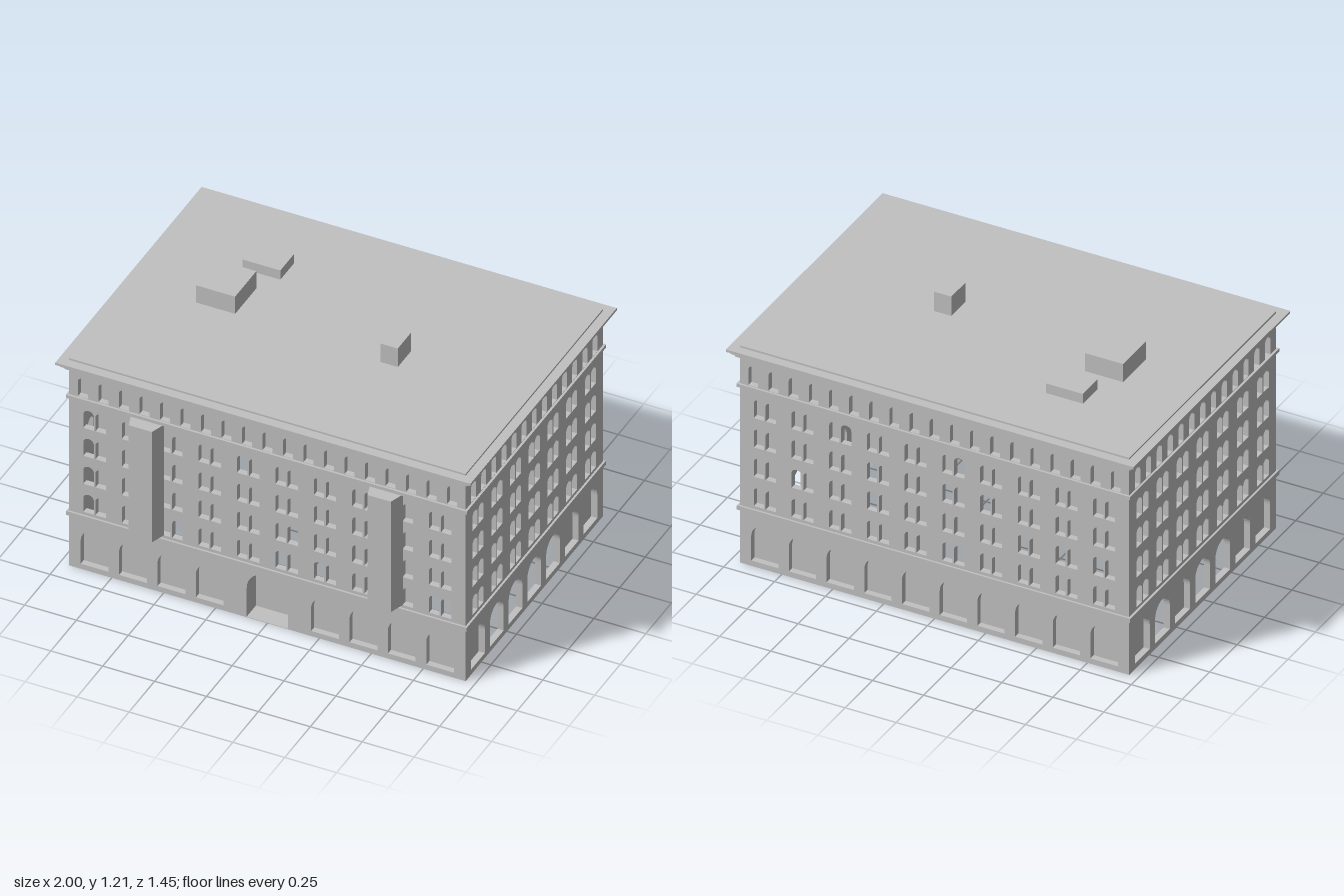
import * as THREE from 'three';
import { mergeGeometries } from 'three/addons/utils/BufferGeometryUtils.js';

const W = 1.91, D = 1.34, H = 1.06, T = 0.03; // wall width, depth, height, thickness

export function createModel() {
  const model = new THREE.Group();
  model.name = 'building';
  model.position.z = -0.015;
  const stone = new THREE.MeshStandardMaterial({ color: 0xc0c0c0, side: THREE.DoubleSide });
  stone.name = 'grey stone';

  const add = (name, geometry, parent = model) => {
    const mesh = new THREE.Mesh(geometry, stone);
    mesh.name = name;
    parent.add(mesh);
    return mesh;
  };
  const extrude = (shape, depth) =>
    new THREE.ExtrudeGeometry(shape, { depth, bevelEnabled: false, curveSegments: 8 });
  const rect = (w, d) => new THREE.Shape([
    new THREE.Vector2(-w / 2, -d / 2), new THREE.Vector2(w / 2, -d / 2),
    new THREE.Vector2(w / 2, d / 2), new THREE.Vector2(-w / 2, d / 2)]);

  // Round-headed opening: centre u, width w, from y0 to y1, head height rise
  const arch = ({ u, w, y0, y1, rise = w / 2 }) => {
    const s = new THREE.Shape();
    s.moveTo(u - w / 2, y0);
    s.lineTo(u + w / 2, y0);
    s.lineTo(u + w / 2, y1 - rise);
    s.absellipse(u, y1 - rise, w / 2, rise, 0, Math.PI, false);
    s.closePath();
    return s;
  };

  // All openings of one wall; names in "open" have no pane
  const openings = (columns, pitch, topCount, open, skip = []) => {
    const list = [];
    const isOpen = new Set(open.split(' '));
    for (let c = 0; c < columns; c++) {
      const u = (c - (columns - 1) / 2) * pitch;
      if (!skip.includes(c))
        list.push({ u, w: 0.134, y0: 0.027, y1: 0.218, open: isOpen.has('A' + c) });
      for (let r = 0; r < 4; r++)
        for (const [side, dx] of [['L', -0.029], ['R', 0.029]])
          list.push({ u: u + dx, w: 0.05, y0: 0.31 + r * 0.15, y1: 0.407 + r * 0.15,
            rise: 0.022, open: isOpen.has(c + side + r) });
    }
    for (let i = 0; i < topCount; i++)
      list.push({ u: (i - (topCount - 1) / 2) * 0.0988, w: 0.048, y0: 0.921, y1: 1.022 });
    return list;
  };

  // Wall slab with pierced openings and recessed panes
  const wall = (name, width, holes, angle, distance) => {
    const group = new THREE.Group();
    group.name = name;
    group.rotation.y = angle;
    group.position.set(Math.sin(angle) * distance, 0, Math.cos(angle) * distance);
    model.add(group);
    const shape = rect(width, H);
    shape.getPoints();
    const outline = new THREE.Shape(shape.getPoints().map((p) => p.clone().setY(p.y + H / 2)));
    outline.holes = holes.map(arch);
    add(name + 'Masonry', extrude(outline, T).translate(0, 0, -T), group);
    const panes = holes.filter((h) => !h.open).map((h) => new THREE.ShapeGeometry(arch(h), 8));
    add(name + 'Panes', mergeGeometries(panes).translate(0, 0, -T), group);
    return group;
  };

  // Four walls
  const door = { u: 0, w: 0.2, y0: 0.003, y1: 0.256, open: true };
  const frontHoles = openings(10, 0.185, 19,
    '0L0 0L1 0L2 0L3 2R0 4L3 5R1 5L0 6L0 8L0 9L0 9R0', [4, 5]);
  const front = wall('frontWall', W, [...frontHoles, door], 0, D / 2);
  wall('backWall', W, openings(10, 0.185, 19,
    '1L1 2R3 3L2 3L1 5L2 5L0 5R0 5R3 6L2 7L1 8L1 9L1'), Math.PI, D / 2);
  wall('eastWall', D - 2 * T, openings(7, 0.183, 13, 'A1 A2 A3 A4 3L2'), Math.PI / 2, W / 2);
  wall('westWall', D - 2 * T, openings(7, 0.183, 13,
    'A1 A3 A4 0L1 0L2 4L1 4L2 5L2 6L2 6L3'), -Math.PI / 2, W / 2);

  // Deep entrance niche
  const niche = arch({ u: 0, w: 0.212, y0: 0, y1: 0.262 });
  niche.holes = [arch(door)];
  add('entranceNiche', extrude(niche, 0.06).translate(0, 0, -0.09), front);
  add('entranceDoor', new THREE.ShapeGeometry(arch(door), 8).translate(0, 0, -0.09), front);

  // Hollow bands around the walls and stepped cornice: [name, y0, y1, overhang]
  for (const [name, y0, y1, o] of [
    ['lowerBand', 0.274, 0.295, 0.01], ['upperBand', 0.903, 0.919, 0.011],
    ['corniceLower', 1.058, 1.075, 0.015], ['corniceMiddle', 1.075, 1.09, 0.03],
    ['corniceUpper', 1.09, 1.102, 0.045]]) {
    const ring = rect(W + 2 * o, D + 2 * o);
    ring.holes = [rect(W - 0.02, D - 0.02)];
    add(name, extrude(ring, y1 - y0).rotateX(-Math.PI / 2).translate(0, y0, 0));
  }

  // Boxes given by their limits
  const block = (name, x0, x1, y0, y1, z0, z1) =>
    add(name, new THREE.BoxGeometry(x1 - x0, y1 - y0, z1 - z0))
      .position.set((x0 + x1) / 2, (y0 + y1) / 2, (z0 + z1) / 2);
  block('roof', -W / 2, W / 2, 1.09, 1.111, -D / 2, D / 2);
  block('roofHouse', -0.643, -0.455, 1.11, 1.203, -0.145, 0.063);
  block('roofVent', -0.572, -0.39, 1.11, 1.16, -0.38, -0.247);
  block('roofStairHead', 0.263, 0.347, 1.11, 1.21, -0.028, 0.1);

  // Tapered bay projections on the front
  for (const x of [-0.578, 0.573]) {
    const plan = new THREE.Shape([[-0.08, 0], [0.08, 0], [0.056, -0.072], [-0.056, -0.072]]
      .map(([a, b]) => new THREE.Vector2(a, b)));
    add('bayProjection', extrude(plan, 0.592).rotateX(-Math.PI / 2))
      .position.set(x, 0.31, D / 2 - 0.002);
  }
  const root = new THREE.Group();
  root.add(model);
  return root;
}
